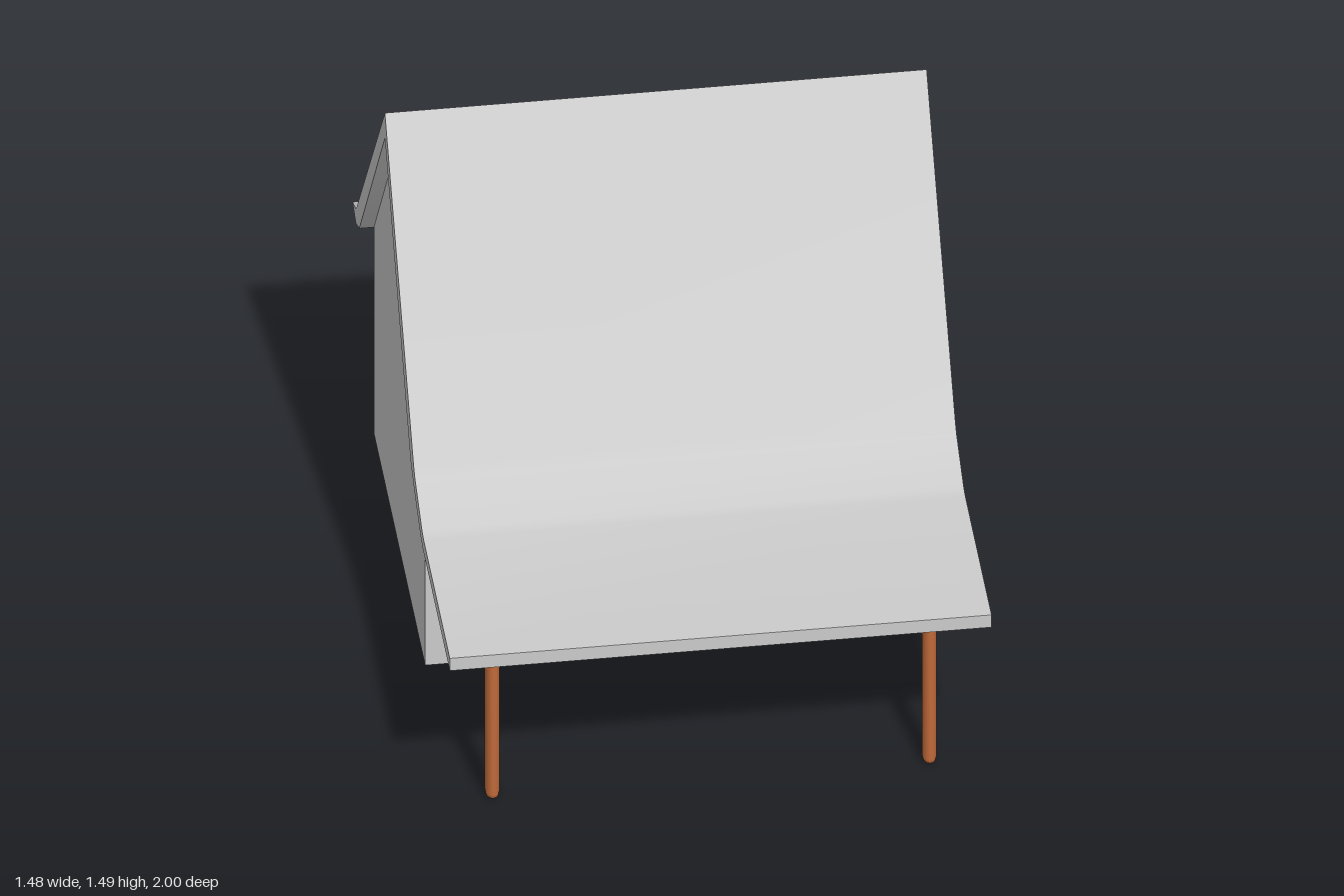
import * as THREE from 'three';
import { toCreasedNormals } from 'three/addons/utils/BufferGeometryUtils.js';

const mat = (color) => new THREE.MeshStandardMaterial({ color });
const grey = mat(0xcccccc);
const wood = mat(0xc06a3a);
const doorPaint = mat(0xa0883c);
const darkWood = mat(0x6b4426);
const floorMat = mat(0xd0ad74);

function part(name, geometry, material) {
  const mesh = new THREE.Mesh(geometry, material);
  mesh.name = name;
  return mesh;
}

// Extrudes a [z, y] side profile across x, centred on x = 0.
function sideExtrude(points, width) {
  const shape = new THREE.Shape(points.map(([z, y]) => new THREE.Vector2(-z, y)));
  const g = new THREE.ExtrudeGeometry(shape, { depth: width, bevelEnabled: false });
  return g.translate(0, 0, -width / 2).rotateY(Math.PI / 2);
}

// Flat rectangular frame centred on the origin, facing +z.
function frameGeometry(w, h, bar, depth) {
  const rect = (Type, a, b) => new Type([
    new THREE.Vector2(-a, -b), new THREE.Vector2(a, -b),
    new THREE.Vector2(a, b), new THREE.Vector2(-a, b)]);
  const shape = rect(THREE.Shape, w / 2, h / 2);
  shape.holes.push(rect(THREE.Path, w / 2 - bar, h / 2 - bar));
  return new THREE.ExtrudeGeometry(shape, { depth, bevelEnabled: false });
}

export function createModel() {
  const model = new THREE.Group();
  model.name = 'house';

  // Walls with gable ends
  const walls = [[0.195, 0], [0.195, 0.7], [-0.33, 1.4], [-0.855, 0.7], [-0.855, 0]];
  model.add(part('walls', sideExtrude(walls, 1.4), grey));

  // Floor seen from underneath
  const floor = part('floor', new THREE.BoxGeometry(1.398, 0.004, 1.048), floorMat);
  floor.position.set(0, 0.001, -0.33);
  model.add(floor);

  // Roof sweeping out into the porch canopy, with a flicked rear eave
  const roof = [
    [1, 0.63], [0.465, 0.63], [0.43, 0.637], [0.285, 0.706], [0.26, 0.728],
    [-0.33, 1.485], [-0.91, 0.73], [-0.925, 0.715], [-0.995, 0.685],
    [-0.925, 0.665], [-0.855, 0.7], [-0.33, 1.4], [0.195, 0.7],
    [0.29, 0.647], [0.4, 0.597], [0.45, 0.588], [1, 0.588]];
  model.add(part('roof', toCreasedNormals(sideExtrude(roof, 1.48), 0.6), grey));

  // Porch posts: oval with rounded ends
  const postProfile = [[0, 0], [0.6, 0], [0.88, 0.007], [1, 0.02],
    [1, 0.57], [0.88, 0.583], [0.6, 0.59], [0, 0.59]]
    .map(([r, y]) => new THREE.Vector2(r, y));
  for (const side of [1, -1]) {
    const post = part(side > 0 ? 'leftPost' : 'rightPost',
      new THREE.LatheGeometry(postProfile, 24).scale(0.02, 1, 0.03), wood);
    post.position.set(side * 0.597, 0, 0.795);
    model.add(post);
  }

  // Front windows (wide) and back windows (near square)
  for (const x of [-0.372, 0.365]) {
    const w = part('frontWindowFrame', frameGeometry(0.243, 0.138, 0.01, 0.008), wood);
    w.position.set(x, 0.381, 0.193);
    model.add(w);
  }
  for (const x of [0.31, -0.478]) {
    const w = part('backWindowFrame', frameGeometry(x > 0 ? 0.285 : 0.25, 0.275, 0.012, 0.009), wood);
    w.rotation.y = Math.PI;
    w.position.set(x, 0.313, -0.853);
    model.add(w);
  }

  // Round attic window on the left gable
  const ring = new THREE.Shape().absarc(0, 0, 0.109, 0, Math.PI * 2);
  ring.holes.push(new THREE.Path().absarc(0, 0, 0.103, 0, Math.PI * 2));
  const attic = part('atticWindowFrame', new THREE.ExtrudeGeometry(ring,
    { depth: 0.007, bevelEnabled: false, curveSegments: 32 }), wood);
  attic.rotation.y = Math.PI / 2;
  attic.position.set(0.698, 0.92, -0.338);
  model.add(attic);

  // Door on the left wall: frame, panel, and a small framed pane
  const door = new THREE.Group();
  door.name = 'door';
  const panel = part('doorPanel', new THREE.BoxGeometry(0.24, 0.29, 0.006), doorPaint);
  const pane = part('doorPane', new THREE.BoxGeometry(0.15, 0.08, 0.004), grey);
  const paneFrame = part('doorPaneFrame', frameGeometry(0.166, 0.098, 0.008, 0.007), darkWood);
  pane.position.set(-0.006, 0.071, 0.003);
  paneFrame.position.set(-0.006, 0.071, 0.001);
  door.add(part('doorFrame', frameGeometry(0.258, 0.306, 0.011, 0.006), wood), panel, pane, paneFrame);
  door.rotation.y = Math.PI / 2;
  door.position.set(0.7, 0.153, -0.329);
  model.add(door);

  return model;
}
